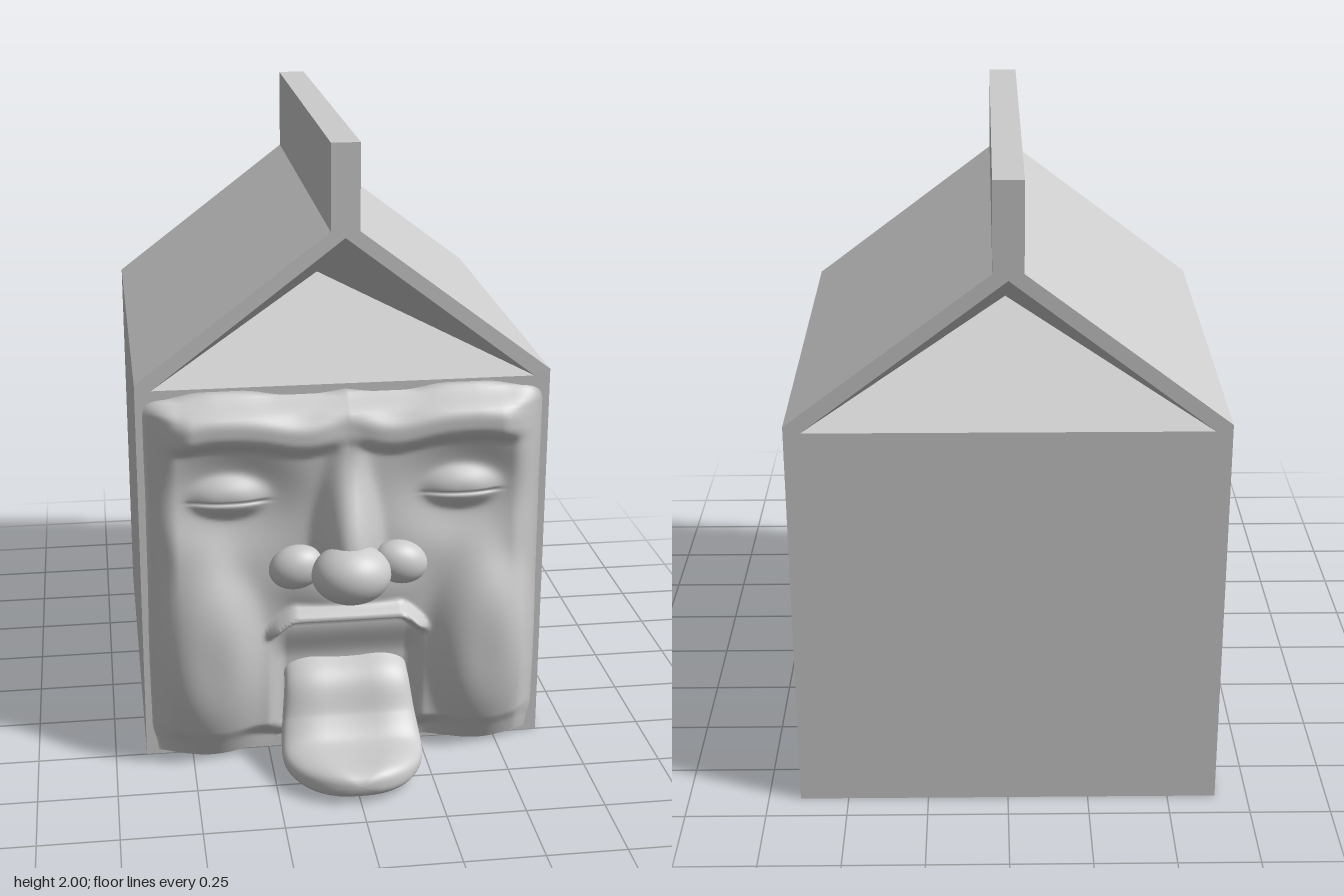
import * as THREE from 'three';
import { ParametricGeometry } from 'three/addons/geometries/ParametricGeometry.js';

const FRONT = 0.5, BACK = -0.91;
const step = (v, lo, hi) => THREE.MathUtils.smoothstep(v, lo, hi);
const bump = (dx, dy, p = 1) => Math.exp(-Math.pow(dx * dx + dy * dy, p));

// Carton outline, counter-clockwise, and the triangular gable opening
const outline = [[-0.65, 0], [0.65, 0], [0.65, 1.27], [0.045, 1.73], [0.045, 2], [-0.045, 2], [-0.045, 1.73], [-0.65, 1.27]];
const opening = [[-0.6, 1.25], [0.6, 1.25], [0, 1.71]];

function flatGeometry(triangles) {
  const geo = new THREE.BufferGeometry();
  geo.setAttribute('position', new THREE.Float32BufferAttribute(triangles.flat(2), 3));
  geo.computeVertexNormals();
  return geo;
}

function endPanelGeometry() {
  const v = ([x, y]) => new THREE.Vector2(x, y);
  const shape = new THREE.Shape(outline.map(v));
  shape.holes.push(new THREE.Path(opening.map(v).reverse()));
  return new THREE.ShapeGeometry(shape);
}

// Walls, roof, fin and base: one quad per outline edge
function shellGeometry() {
  const tris = [];
  outline.forEach(([x0, y0], i) => {
    const [x1, y1] = outline[(i + 1) % outline.length];
    const a = [x0, y0, FRONT], b = [x0, y0, BACK], c = [x1, y1, BACK], d = [x1, y1, FRONT];
    tris.push([a, b, c], [a, c, d]);
  });
  return flatGeometry(tris);
}

// Folded-in gable: three faces running back to one inner point
function gableFoldGeometry() {
  const inner = [0, 1.43, -0.68];
  return flatGeometry(opening.map((p, i) => [[...p, 0], [...opening[(i + 1) % 3], 0], inner]));
}

// Height of the face relief above the front panel
function relief(x, y) {
  const a = Math.abs(x);
  const rim = (1 - step(a, 0.53, 0.645)) * step(y, 0.03, 0.12) * (1 - step(y, 1.17, 1.23));

  // forehead plane with sunken eye sockets
  let plane = 0.065 * rim;
  plane -= 0.045 * rim * bump((a - 0.37) / 0.2, (y - 0.9) / 0.16, 1.5);

  // closed lids with a thin slit
  const lid = 0.065 * bump((a - 0.37) / 0.14, (y - 0.9) / 0.075, 1.3)
    - 0.012 * bump((a - 0.37) / 0.12, (y - 0.887) / 0.008, 1.5);

  // brows, dipping toward the nose
  const browY = 1.135 - 0.03 * bump((a - 0.14) / 0.12, 0) - 0.02 * step(a, 0.4, 0.6);
  const brow = 0.1 * bump(0, (y - browY) / 0.075, 1.6) * (1 - step(a, 0.48, 0.64)) * (1 - 0.2 * bump(a / 0.07, 0));

  // hanging jowls
  const jowl = 0.14 * bump((a - 0.44) / 0.185, (y - 0.36) / 0.36, 1.7) * (1 - step(a, 0.56, 0.645));

  // nose bridge widening downward
  const down = 1 - step(y, 0.72, 1.08);
  const bridge = (0.075 + 0.12 * down) * bump(a / (0.085 + 0.02 * down), 0, 1.2)
    * step(y, 0.6, 0.72) * (1 - step(y, 1.05, 1.2));

  // muzzle and curled upper lip
  const muzzle = 0.085 * bump(a / 0.26, (y - 0.6) / 0.14, 1.6);
  const lipY = 0.505 - 0.07 * step(a, 0.16, 0.28);
  const lip = 0.125 * bump(0, (y - lipY) / 0.035) * (1 - step(a, 0.22, 0.3));

  let h = Math.pow([plane, lid, brow, jowl, bridge, muzzle, lip]
    .reduce((s, v) => s + Math.pow(Math.max(v, 0), 4), 0), 0.25);

  // open mouth, shallow at the lip and deeper below
  const mouth = (1 - step(a, 0.19, 0.26)) * (1 - step(y, lipY - 0.045, lipY - 0.01)) * step(y, 0.04, 0.12);
  h = THREE.MathUtils.lerp(h, 0.03 + 0.03 * step(y, 0.33, 0.46), mouth);
  return h - 0.004;
}

function faceGeometry() {
  return new ParametricGeometry((u, v, p) => {
    const x = (u - 0.5) * 1.29, y = 0.015 + v * 1.225;
    p.set(x, y, FRONT + relief(x, y));
  }, 130, 130);
}

// Tongue: boxy oval sections swept along a drooping curve
function tongueGeometry() {
  const spine = new THREE.CatmullRomCurve3([
    [0.5, 0.29], [0.56, 0.255], [0.615, 0.15], [0.69, 0.078], [0.8, 0.06], [0.905, 0.062],
  ].map(([z, y]) => new THREE.Vector3(0, y, z)));
  const power = (c, e) => Math.sign(c) * Math.pow(Math.abs(c), e);
  return new ParametricGeometry((u, v, p) => {
    const c = spine.getPoint(u), t = spine.getTangent(u);
    const tip = Math.max(0, (c.z - 0.69) / 0.2151);
    const taper = Math.sqrt(Math.max(0, 1 - tip * tip));
    const width = (0.2 + 0.025 * step(u, 0.1, 0.6)) * taper;
    const thick = 0.056 * Math.sqrt(Math.max(0, 1 - Math.pow(tip, 6)));
    const ang = -v * Math.PI * 2;
    const s = power(Math.sin(ang), 0.75);
    const groove = s > 0 ? 0.012 * bump(Math.cos(ang) / 0.35, 0) * taper : 0;
    const n = s * thick - groove;
    p.set(power(Math.cos(ang), 0.75) * width, c.y + n * t.z, c.z - n * t.y);
  }, 48, 48);
}

export function createModel() {
  const model = new THREE.Group();
  const mat = new THREE.MeshStandardMaterial({ color: 0xcccccc });
  const thin = new THREE.MeshStandardMaterial({ color: 0xcccccc, side: THREE.DoubleSide });
  const add = (name, geo, parent = model, material = mat) => {
    const mesh = new THREE.Mesh(geo, material);
    mesh.name = name;
    parent.add(mesh);
    return mesh;
  };

  // Carton
  const carton = new THREE.Group();
  carton.name = 'carton';
  model.add(carton);
  add('cartonShell', shellGeometry(), carton);
  for (const [side, z, turn] of [['front', FRONT, 0], ['back', BACK, Math.PI]]) {
    for (const [part, geo] of [['Panel', endPanelGeometry()], ['GableFold', gableFoldGeometry()]]) {
      const mesh = add(side + part, geo, carton, part === 'Panel' ? mat : thin);
      mesh.position.z = z;
      mesh.rotation.y = turn;
    }
  }

  // Face
  const face = new THREE.Group();
  face.name = 'face';
  model.add(face);
  add('faceRelief', faceGeometry(), face, thin);
  add('tongue', tongueGeometry(), face);

  // Nose tip and nostril wings
  const ball = (name, x, y, z, rx, ry, rz) => {
    const mesh = add(name, new THREE.SphereGeometry(1, 32, 24), face);
    mesh.position.set(x, y, z);
    mesh.scale.set(rx, ry, rz);
    return mesh;
  };
  ball('noseTip', 0, 0.675, 0.655, 0.125, 0.095, 0.108);
  for (const s of [1, -1]) {
    const wing = ball(s > 0 ? 'leftNostril' : 'rightNostril', s * 0.165, 0.68, 0.59, 0.088, 0.07, 0.062);
    wing.rotation.z = -s * 0.25;
  }
  return model;
}
